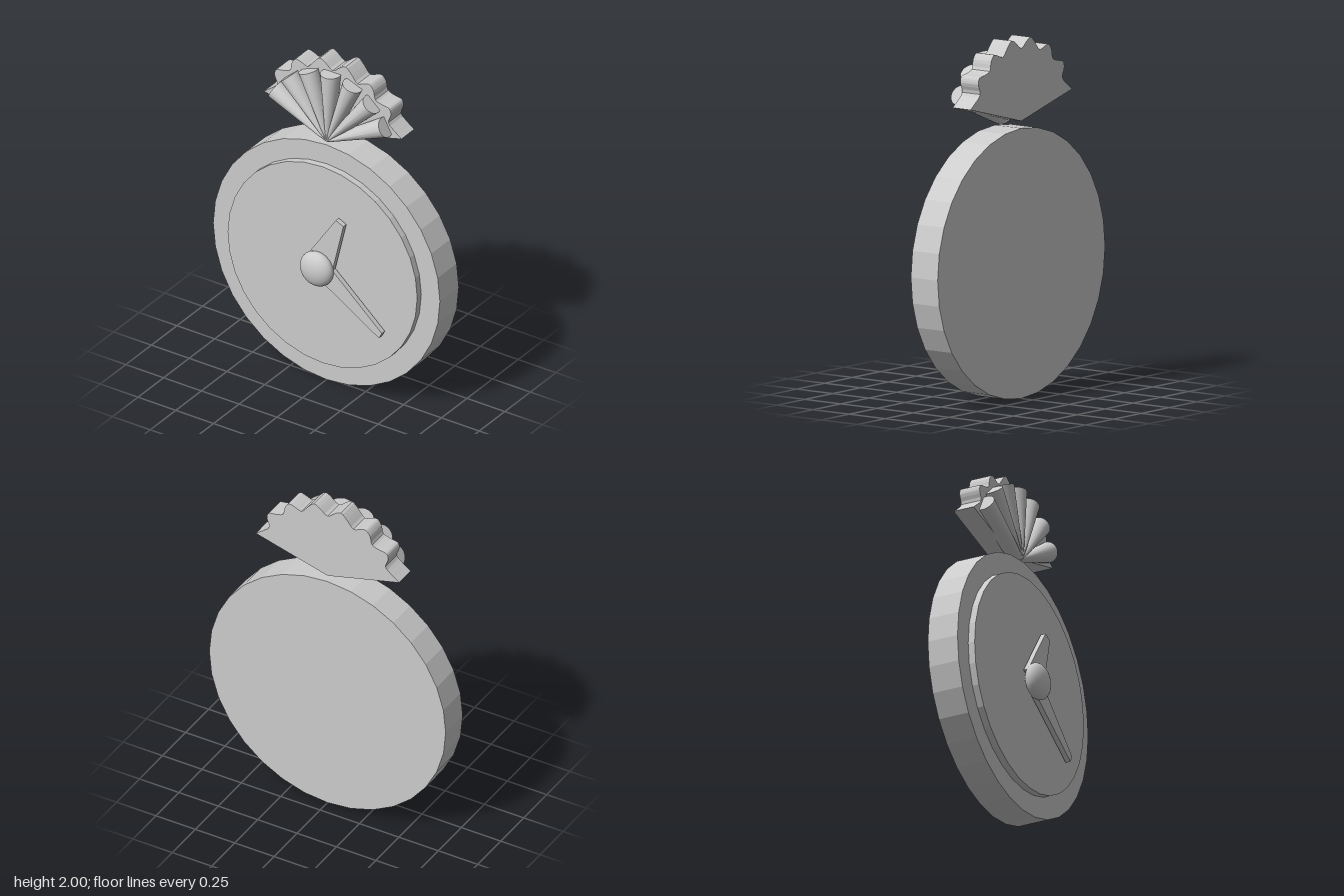
import * as THREE from 'three';

export function createModel() {
  const model = new THREE.Group();
  model.name = 'shellClock';
  const grey = new THREE.MeshStandardMaterial({ color: 0xcccccc });
  grey.name = 'light grey';

  const add = (name, geometry, x = 0, y = 0, z = 0, parent = model) => {
    const mesh = new THREE.Mesh(geometry, grey);
    mesh.name = name;
    mesh.position.set(x, y, z);
    parent.add(mesh);
    return mesh;
  };

  // Flat-sided disc between two depths
  const disc = (name, radius, y, z0, z1) => {
    const g = new THREE.CylinderGeometry(radius, radius, z1 - z0, 32).rotateX(Math.PI / 2).toNonIndexed();
    g.computeVertexNormals();
    add(name, g, 0, y, (z0 + z1) / 2);
  };
  disc('clockBody', 0.75, 0.75, -0.17, 0.015);
  disc('clockFace', 0.627, 0.753, 0.01, 0.055);

  // Outline extruded between two depths
  const plate = (name, points, z0, z1) => {
    const shape = new THREE.Shape(points.map(([x, y]) => new THREE.Vector2(x, y)));
    add(name, new THREE.ExtrudeGeometry(shape, { depth: z1 - z0, bevelEnabled: false }), 0, 0, z0);
  };
  plate('hourHand', [[-0.085, 0.8], [0.085, 0.735], [0.165, 1.072], [0.115, 1.095]], 0.065, 0.095);
  plate('minuteHand', [[-0.04, 0.71], [0.4, 0.438], [0.42, 0.475], [0.06, 0.795]], 0.065, 0.095);

  // Flattened hub
  add('hub', new THREE.SphereGeometry(0.105, 32, 20).scale(1, 1, 0.55), 0, 0.756, 0.11);

  // Scalloped backing with a shallow V underneath
  const half = [[0.455, 1.66], [0.415, 1.69], [0.368, 1.735], [0.385, 1.79], [0.375, 1.825],
    [0.33, 1.835], [0.283, 1.852], [0.27, 1.905], [0.243, 1.937], [0.205, 1.928], [0.165, 1.915],
    [0.125, 1.96], [0.085, 1.996], [0.05, 1.98]];
  const rim = [...half, [0, 1.944], ...half.map(([x, y]) => [-x, y]).reverse()];
  const curve = new THREE.CatmullRomCurve3(rim.map(([x, y]) => new THREE.Vector3(x, y, 0)));
  const scallops = curve.getPoints(84).map((p) => [p.x, Math.min(p.y, 2)]);
  plate('shellBacking', [[0, 1.54], ...scallops], -0.17, -0.045);

  // Fan of seven tapering flutes
  const fan = new THREE.Group();
  fan.name = 'shellFlutes';
  model.add(fan);
  const length = 0.412;
  for (let i = -3; i <= 3; i++) {
    const g = new THREE.CylinderGeometry(0.058, 0.016, length, 28, 6).translate(0, length / 2, 0);
    const p = g.attributes.position;
    // Keep the flutes deep towards the pivot while their width narrows
    for (let k = 0; k < p.count; k++) {
      const t = p.getY(k) / length;
      const width = 0.016 + 0.042 * t;
      const depth = 0.04 + 0.018 * Math.sqrt(Math.max(t, 0));
      p.setZ(k, p.getZ(k) * depth / width);
    }
    g.computeVertexNormals();
    add('flute', g, 0, 1.523, -0.025, fan).rotation.z = i * THREE.MathUtils.degToRad(20.7);
  }
  return model;
}
